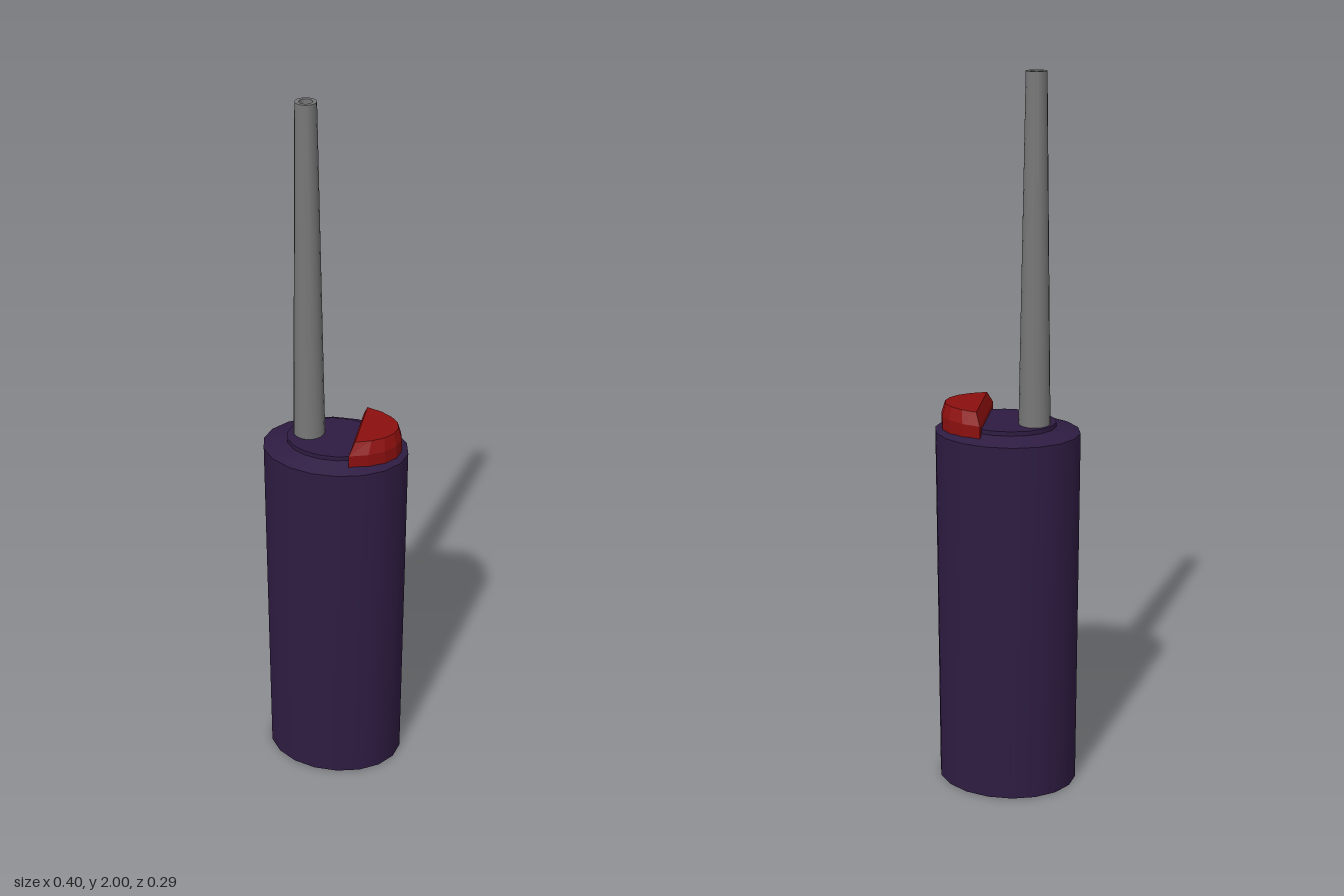
import * as THREE from 'three';
import { toCreasedNormals } from 'three/addons/utils/BufferGeometryUtils.js';

const SIDES = 18;

// Ring of points [x, z] round an ellipse
function ellipse(rx, rz) {
  return Array.from({ length: SIDES }, (_, i) => {
    const a = (i / SIDES) * Math.PI * 2;
    return [rx * Math.cos(a), rz * Math.sin(a)];
  });
}

// The part of an ellipse beyond x = cut, as a D-shaped ring
function dShape(rx, rz, cut) {
  const end = Math.acos(cut / rx);
  const n = 8;
  return Array.from({ length: n + 1 }, (_, i) => {
    const a = -end + (2 * end * i) / n;
    return [rx * Math.cos(a), rz * Math.sin(a)];
  });
}

// Skin a stack of rings { y, points } and cap both ends
function loft(rings, crease) {
  const pos = [];
  const at = (r, i) => {
    const p = r.points[i % r.points.length];
    return [p[0], r.y, p[1]];
  };
  const n = rings[0].points.length;
  const first = rings[0], last = rings[rings.length - 1];
  const centre = (r) => [r.points.reduce((s, p) => s + p[0], 0) / n, r.y, 0];
  for (let i = 0; i < n; i++) {
    for (let k = 0; k < rings.length - 1; k++) {
      const a = at(rings[k], i), b = at(rings[k], i + 1);
      const c = at(rings[k + 1], i), d = at(rings[k + 1], i + 1);
      pos.push(...a, ...c, ...b, ...b, ...c, ...d);
    }
    pos.push(...centre(last), ...at(last, i + 1), ...at(last, i));
    pos.push(...centre(first), ...at(first, i), ...at(first, i + 1));
  }
  const g = new THREE.BufferGeometry();
  g.setAttribute('position', new THREE.Float32BufferAttribute(pos, 3));
  g.computeVertexNormals();
  return crease ? toCreasedNormals(g, crease) : g;
}

export function createModel() {
  const model = new THREE.Group();
  const add = (name, geometry, color) => {
    const mesh = new THREE.Mesh(geometry, new THREE.MeshStandardMaterial({ color }));
    mesh.name = name;
    model.add(mesh);
    return mesh;
  };

  // Oval case with a sloping shoulder and a raised top plate
  add('case', loft([
    { y: 0, points: ellipse(0.198, 0.148) },
    { y: 1.052, points: ellipse(0.198, 0.148) },
    { y: 1.068, points: ellipse(0.132, 0.098) },
    { y: 1.08, points: ellipse(0.132, 0.098) },
  ], 0.55), 0x2e1c42);

  // Bevelled D-shaped button
  add('button', loft([
    { y: 1.053, points: dShape(0.18, 0.117, 0.057) },
    { y: 1.095, points: dShape(0.18, 0.117, 0.057) },
    { y: 1.128, points: dShape(0.17, 0.099, 0.07) },
  ]), 0x8c0f0f);

  // Hollow tapering antenna
  const profile = [[0.043, 1.07], [0.027, 2], [0.017, 2], [0.017, 1.07]]
    .map(([r, y]) => new THREE.Vector2(r, y));
  const tube = toCreasedNormals(new THREE.LatheGeometry(profile, SIDES), 0.6);
  add('antenna', tube, 0x777777).position.set(-0.075, 0, -0.015);

  return model;
}
